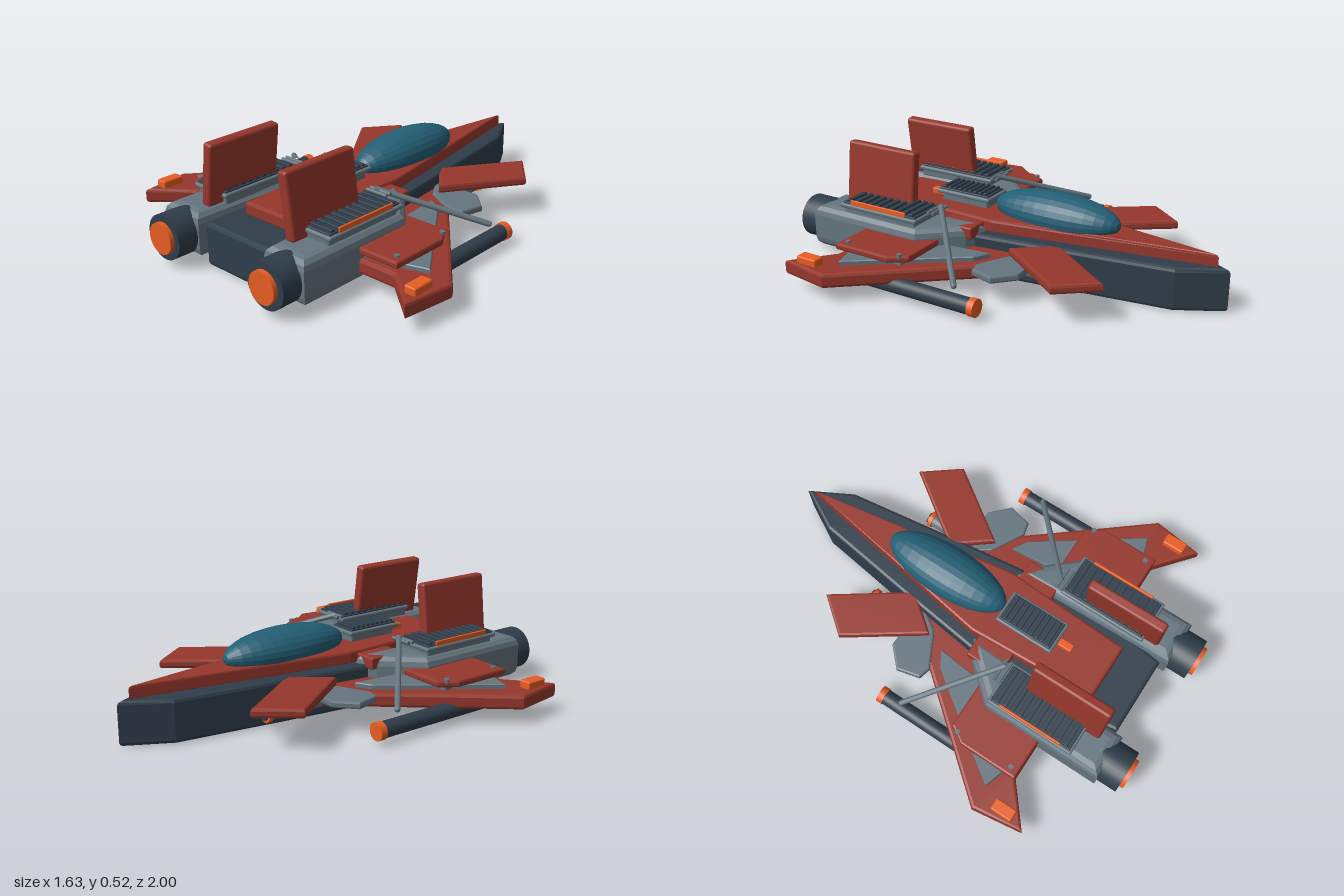
import * as THREE from 'three';
import { RoundedBoxGeometry } from 'three/addons/geometries/RoundedBoxGeometry.js';

const material = (color, flatShading = false) => {
  const m = new THREE.MeshStandardMaterial({ flatShading });
  m.color.set(color);
  return m;
};
const red = material(0x96372c), dark = material(0x2f3d4a), grey = material(0x65757f);
const orange = material(0xe85d22), glass = material(0x235f75, true);

export function createModel() {
  const model = new THREE.Group();

  const add = (name, geometry, mat, parent = model) => {
    const mesh = new THREE.Mesh(geometry, mat);
    mesh.name = name;
    parent.add(mesh);
    return mesh;
  };

  // Bevelled slab from an [x, z] outline between two heights
  const slab = (points, y0, y1, bevel = 0.012, segments = 2) => {
    const shape = new THREE.Shape(points.map(([x, z]) => new THREE.Vector2(x, -z)));
    const g = new THREE.ExtrudeGeometry(shape, {
      depth: y1 - y0 - 2 * bevel, bevelEnabled: true, bevelSize: bevel,
      bevelThickness: bevel, bevelOffset: -bevel, bevelSegments: segments,
    });
    return g.rotateX(-Math.PI / 2).translate(0, y0 + bevel, 0);
  };
  // Outline symmetrical about x = 0, given its +x half
  const both = (half) => [...half, ...half.filter(([x]) => x > 0).reverse().map(([x, z]) => [-x, z])];

  const box = (x0, x1, y0, y1, z0, z1, r = 0.008) =>
    new RoundedBoxGeometry(x1 - x0, y1 - y0, z1 - z0, 2, r)
      .translate((x0 + x1) / 2, (y0 + y1) / 2, (z0 + z1) / 2);

  // Cylinder along z
  const barrel = (r0, r1, x, y, z0, z1, sides = 24) =>
    new THREE.CylinderGeometry(r1, r0, z1 - z0, sides)
      .rotateX(Math.PI / 2).translate(x, y, (z0 + z1) / 2);

  // Louvred vent: grey tray, dark bed and cross slats
  const vent = (name, x0, x1, y, z0, z1, count, parent = model) => {
    const group = new THREE.Group();
    group.name = name;
    parent.add(group);
    add('ventTray', box(x0, x1, y, y + 0.02, z0, z1), grey, group);
    add('ventBed', box(x0 + 0.012, x1 - 0.012, y + 0.01, y + 0.027, z0 + 0.012, z1 - 0.012, 0.004), dark, group);
    const step = (z1 - z0 - 0.04) / count;
    for (let i = 0; i < count; i++) {
      const z = z0 + 0.02 + (i + 0.5) * step;
      add('ventSlat', box(x0 + 0.02, x1 - 0.02, y + 0.02, y + 0.037, z - step * 0.28, z + step * 0.28, 0.003), dark, group);
    }
  };

  // Central body
  add('hull', slab(both([[0, -1], [0.11, -0.8], [0.18, -0.3], [0.25, 0.25], [0.25, 0.45], [0.19, 0.845]]), 0, 0.195, 0.016), dark);
  add('deck', slab(both([[0, -0.945], [0.17, 0.06], [0.14, 0.675]]), 0.185, 0.25, 0.012), red);
  const canopy = add('canopy', new THREE.SphereGeometry(1, 24, 16).rotateX(Math.PI / 2), glass);
  canopy.scale.set(0.12, 0.1, 0.312);
  canopy.position.set(0, 0.273, -0.183);
  add('spineBase', box(-0.06, 0.06, 0.24, 0.29, 0.15, 0.4), grey);
  vent('spineVent', -0.08, 0.08, 0.283, 0.13, 0.42, 9);
  add('spineLight', box(-0.018, 0.018, 0.245, 0.275, 0.42, 0.49, 0.006), orange);

  // Everything else comes in pairs
  for (const s of [1, -1]) {
    const side = new THREE.Group();
    side.name = s > 0 ? 'leftSide' : 'rightSide';
    model.add(side);
    const flip = (points) => points.map(([x, z]) => [s * x, z]);
    const sideBox = (x0, x1, ...rest) => (s > 0 ? box(x0, x1, ...rest) : box(-x1, -x0, ...rest));

    // Engine
    add('engineBody', slab(flip([[0.18, 0.08], [0.27, 0.13], [0.42, 0.3], [0.42, 0.88], [0.2, 0.88]]), 0.035, 0.238, 0.045, 3), grey, side);
    add('nozzle', barrel(0.1, 0.1, s * 0.308, 0.137, 0.8, 0.975, 32), dark, side);
    add('nozzleGlow', barrel(0.07, 0.07, s * 0.308, 0.137, 0.96, 0.995, 32), orange, side);
    add('ventBase', sideBox(0.21, 0.39, 0.225, 0.265, 0.32, 0.72), grey, side);
    vent('engineVent', s > 0 ? 0.2 : -0.41, s > 0 ? 0.41 : -0.2, 0.258, 0.3, 0.73, 10, side);
    add('ventLight', sideBox(0.394, 0.404, 0.275, 0.3, 0.36, 0.67, 0.003), orange, side);
    add('shoulder', sideBox(0.15, 0.27, 0.18, 0.235, 0.1, 0.28), red, side);

    // Tail fin leaning inward
    const fin = add('tailFin', new RoundedBoxGeometry(0.05, 0.29, 0.38, 2, 0.014), red, side);
    fin.position.set(s * 0.237, 0.376, 0.607);
    fin.rotation.z = s * 0.125;

    // Wing with its overlays
    add('wing', slab(flip([[0.17, -0.28], [0.285, -0.155], [0.815, 0.49], [0.78, 0.728], [0.6, 0.58], [0.18, 0.58]]), 0.07, 0.137, 0.014), red, side);
    add('wingPanel', slab(flip([[0.3, -0.02], [0.37, 0.02], [0.705, 0.49], [0.58, 0.53], [0.34, 0.4]]), 0.13, 0.158, 0.004, 1), grey, side);
    add('wingPlate', slab(flip([[0.34, 0.22], [0.565, 0.22], [0.615, 0.3], [0.615, 0.58], [0.34, 0.58]]), 0.156, 0.188, 0.009), red, side);
    add('plateSpacer', sideBox(0.36, 0.57, 0.12, 0.17, 0.26, 0.55), grey, side);
    for (const z of [0.26, 0.54])
      add('bolt', new THREE.CylinderGeometry(0.012, 0.012, 0.02, 12).translate(s * 0.58, 0.186, z), grey, side);
    add('wingLight', sideBox(0.72, 0.776, 0.13, 0.17, 0.56, 0.665), orange, side);

    // Foreplane and the small plate behind it
    add('foreplane', slab(flip([[0.38, -0.61], [0.513, -0.44], [0.275, -0.1], [0.14, -0.27]]), 0.153, 0.195, 0.012), red, side);
    add('forePlate', slab(flip([[0.16, -0.22], [0.4, -0.225], [0.487, -0.14], [0.46, -0.03], [0.4, -0.015], [0.24, -0.1]]), 0.115, 0.148, 0.009), grey, side);

    // Inner gun
    add('innerGun', barrel(0.03, 0.03, s * 0.24, 0.09, -0.43, 0.1), grey, side);
    add('innerGunRing', barrel(0.038, 0.038, s * 0.24, 0.09, -0.45, -0.43), orange, side);
    add('innerGunMuzzle', barrel(0.026, 0.026, s * 0.24, 0.09, -0.46, -0.44), dark, side);

    // Pod under the wing
    add('wingPod', barrel(0.036, 0.036, s * 0.605, 0.06, -0.13, 0.47), dark, side);
    add('wingPodCap', barrel(0.04, 0.04, s * 0.605, 0.06, -0.152, -0.122), orange, side);

    // Slanted brace and its hinge pins
    const brace = new THREE.LineCurve3(new THREE.Vector3(s * 0.235, 0.292, 0.285), new THREE.Vector3(s * 0.6, 0.13, -0.035));
    add('brace', new THREE.TubeGeometry(brace, 1, 0.013, 12), grey, side);
    const end = add('braceTip', new THREE.SphereGeometry(0.013, 12, 8), grey, side);
    end.position.copy(brace.v2);
    for (const z of [0.275, 0.3])
      add('hingePin', new THREE.CylinderGeometry(0.008, 0.008, 0.11, 10).rotateZ(Math.PI / 2).translate(s * 0.26, 0.285, z), grey, side);
  }
  return model;
}
